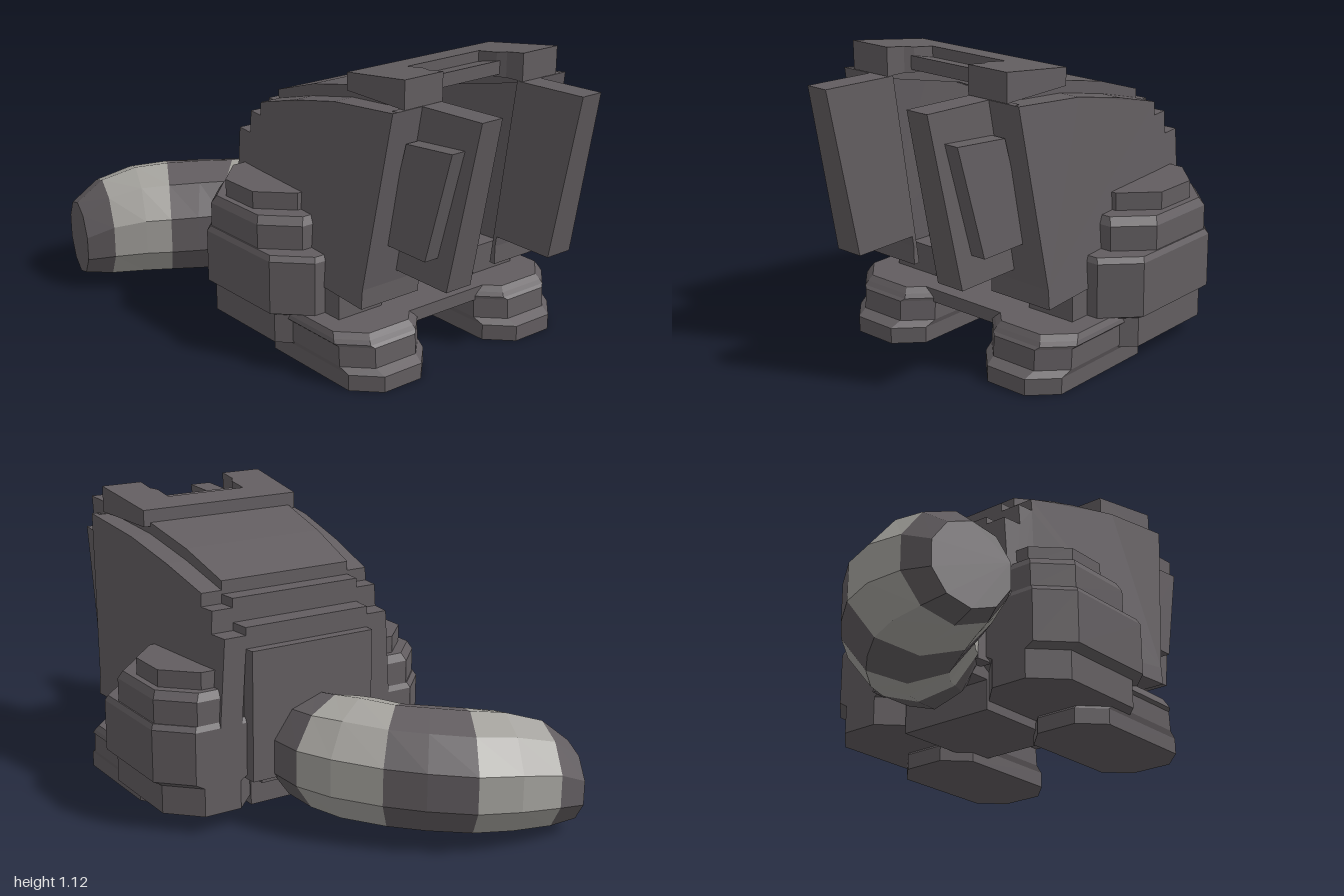
import * as THREE from 'three';

const fur = new THREE.MeshStandardMaterial({ color: 0x625d60 });
fur.name = 'dark grey fur';
const pale = new THREE.MeshStandardMaterial({ color: 0xa5a39e });
pale.name = 'pale grey stripe';

function part(parent, name, geometry, material = fur) {
  const mesh = new THREE.Mesh(geometry, material);
  mesh.name = name;
  parent.add(mesh);
  return mesh;
}

// Skin a list of equal-length rings, with optional end caps (flat facets)
function loft(rings, capStart = true, capEnd = true) {
  const pos = [];
  const tri = (...pts) => pts.forEach((p) => pos.push(p.x, p.y, p.z));
  const n = rings[0].length;
  for (let r = 0; r + 1 < rings.length; r++) {
    const a = rings[r], b = rings[r + 1];
    for (let i = 0; i < n; i++) {
      const j = (i + 1) % n;
      tri(a[i], a[j], b[j]);
      tri(a[i], b[j], b[i]);
    }
  }
  const last = rings[rings.length - 1];
  for (let i = 1; i + 1 < n; i++) {
    if (capStart) tri(rings[0][0], rings[0][i + 1], rings[0][i]);
    if (capEnd) tri(last[0], last[i], last[i + 1]);
  }
  const g = new THREE.BufferGeometry();
  g.setAttribute('position', new THREE.Float32BufferAttribute(pos, 3));
  g.computeVertexNormals();
  return g;
}

// Octagonal stepped block; each level is [y, half width, half depth, z centre]
function steppedBlock(levels, chamfer) {
  return loft(levels.map(([y, w, d, z]) => {
    const c = chamfer, u = w - c, v = d - c;
    return [[-u, d], [u, d], [w, v], [w, -v], [u, -d], [-u, -d], [-w, -v], [-w, v]]
      .map(([px, pz]) => new THREE.Vector3(px, y, z + pz));
  }));
}

// Slab with a (z, y) outline running from x = high(y, z) down to x = low(y, z)
function slab(outline, high, low) {
  const shape = new THREE.Shape(outline.map(([z, y]) => new THREE.Vector2(z, y)));
  const g = new THREE.ExtrudeGeometry(shape, { depth: 1, bevelEnabled: false });
  const p = g.attributes.position;
  for (let i = 0; i < p.count; i++) {
    const z = p.getX(i), y = p.getY(i);
    p.setXYZ(i, p.getZ(i) < 0.5 ? high(y, z) : low(y, z), y, z);
  }
  g.computeVertexNormals();
  return g;
}

// The same slab on the left (side 1) or the right (side -1)
function sideSlab(side, outline, inner, outer) {
  return side > 0
    ? slab(outline, outer, inner)
    : slab(outline, (y, z) => -inner(y, z), (y, z) => -outer(y, z));
}

const wallX = (y, z) => 0.41 + (1.02 - y) * 0.065 - Math.pow(Math.max(0, 0.72 - z), 1.4) * 0.085;
const roofX = (y, z) => 0.335 - (0.72 - z) * 0.078;

const wallOutline = [[0.72, 1.02], [0.4, 0.985], [0.15, 0.93], [-0.08, 0.865], [-0.08, 0.815], [-0.15, 0.815],
  [-0.15, 0.73], [-0.23, 0.73], [-0.23, 0.2], [-0.1, 0.2], [-0.1, 0.3], [0.62, 0.3], [0.62, 0.37]];
const roofTop = [[0.62, 1.08], [0.4, 1.03], [0.15, 0.975], [-0.08, 0.9], [-0.08, 0.85], [-0.15, 0.85],
  [-0.15, 0.76], [-0.23, 0.76], [-0.23, 0.68], [-0.27, 0.68], [-0.27, 0.18]];
const roofOutline = [...roofTop, [-0.255, 0.18], [-0.255, 0.67], [-0.215, 0.67], [-0.215, 0.75], [-0.135, 0.75],
  [-0.135, 0.84], [-0.065, 0.84], [-0.065, 0.89], [0.15, 0.96], [0.4, 1.012], [0.62, 1.03]];
const roofEdgeOutline = [...roofTop, [-0.2, 0.18], [-0.2, 0.6], [0, 0.78], [0.3, 0.91], [0.62, 0.98]];
const postOutline = [[0.72, 1.02], [0.695, 1.02], [0.595, 0.3], [0.62, 0.3], [0.62, 0.37]];
const plateOutline = [[1, 1.03], [0.72, 1.02], [0.62, 0.41], [0.88, 0.41]];
const panelOutline = [[0.93, 0.92], [0.71, 0.9], [0.62, 0.52], [0.83, 0.52]];

const haunchLevels = [[0.07, 0.19, 0.3, 0.07], [0.18, 0.19, 0.3, 0.07], [0.2, 0.225, 0.31, 0.08],
  [0.4, 0.225, 0.31, 0.08], [0.42, 0.215, 0.3, 0.08], [0.42, 0.21, 0.26, 0.04], [0.51, 0.21, 0.26, 0.04],
  [0.54, 0.195, 0.245, 0.04], [0.54, 0.17, 0.2, 0.02], [0.605, 0.17, 0.2, 0.02]];
const footLevels = [[0, 0.175, 0.305, 0.395], [0.06, 0.175, 0.305, 0.395], [0.08, 0.183, 0.275, 0.385],
  [0.155, 0.183, 0.27, 0.385], [0.165, 0.195, 0.26, 0.385], [0.18, 0.19, 0.25, 0.385], [0.2, 0.18, 0.24, 0.38]];

// Raised collar with a notch at the front; its top slopes down to the back
function collar() {
  const pts = [[-0.36, -0.72], [-0.19, -0.72], [-0.19, -0.64], [-0.17, -0.61], [-0.17, -0.52], [0.17, -0.52],
    [0.17, -0.61], [0.19, -0.64], [0.19, -0.72], [0.36, -0.72], [0.34, -0.4], [-0.34, -0.4]];
  const g = new THREE.ExtrudeGeometry(new THREE.Shape(pts.map((q) => new THREE.Vector2(...q))),
    { depth: 1, bevelEnabled: false });
  g.rotateX(-Math.PI / 2);
  const p = g.attributes.position;
  for (let i = 0; i < p.count; i++) {
    const z = p.getZ(i);
    p.setY(i, p.getY(i) > 0.5 ? 1.08 + (z - 0.4) * 0.14 : 1.015 + (z - 0.4) * 0.02);
  }
  g.computeVertexNormals();
  return g;
}

function addTail(root) {
  const tail = new THREE.Group();
  tail.name = 'tail';
  root.add(tail);
  // Each ring: inner x, z, outer x, z, centre y, half height
  const rings = [
    [-0.08, -0.16, 0.23, -0.16, 0.25, 0.13], [-0.14, -0.23, 0.26, -0.25, 0.26, 0.21],
    [-0.17, -0.27, 0.26, -0.42, 0.265, 0.22], [-0.2, -0.32, 0.2, -0.55, 0.26, 0.23],
    [-0.25, -0.38, 0.08, -0.7, 0.25, 0.228], [-0.33, -0.43, -0.03, -0.81, 0.245, 0.228],
    [-0.42, -0.49, -0.17, -0.92, 0.24, 0.225], [-0.5, -0.55, -0.32, -0.98, 0.235, 0.22],
    [-0.6, -0.63, -0.48, -1, 0.215, 0.2], [-0.68, -0.71, -0.6, -0.99, 0.18, 0.15],
  ].map(([ix, iz, ox, oz, y, h]) => Array.from({ length: 10 }, (_, i) => {
    const a = (i + 0.5) * Math.PI / 5;
    const t = 0.5 - 0.5 * Math.cos(a) / Math.cos(Math.PI / 10);
    return new THREE.Vector3(ix + (ox - ix) * t, y + h * Math.sin(a), iz + (oz - iz) * t);
  }));
  const bands = [[0, 2, fur], [2, 4, pale], [4, 6, fur], [6, 8, pale], [8, 9, fur]];
  bands.forEach(([from, to, material], i) => {
    part(tail, 'tailBand' + (i + 1), loft(rings.slice(from, to + 1), i === 0, i === 4), material);
  });
}

export function createModel() {
  const root = new THREE.Group();
  root.name = 'stripedTailAnimalBody';
  const body = new THREE.Group();
  body.name = 'body';
  body.position.x = 0.09;
  root.add(body);

  // Hollow torso: stepped roof and back, collar
  part(body, 'roofAndBack', slab(roofOutline, roofX, (y, z) => -roofX(y, z)));
  part(body, 'collar', collar());

  for (const side of [1, -1]) {
    const label = side > 0 ? 'left' : 'right';
    // Torso walls, front posts and arm plates
    part(body, label + 'RoofEdge', sideSlab(side, roofEdgeOutline, (y, z) => roofX(y, z) - 0.05, (y, z) => roofX(y, z) + 0.002));
    part(body, label + 'Wall', sideSlab(side, wallOutline, (y, z) => wallX(y, z) - 0.09, wallX));
    part(body, label + 'FrontPost', sideSlab(side, postOutline, () => 0.19, (y, z) => wallX(y, z) - 0.02));
    part(body, label + 'ArmPlate', sideSlab(side, plateOutline, () => 0.19, (y) => 0.28 + (1.03 - y) * 0.035));
    part(body, label + 'ArmPanel', sideSlab(side, panelOutline, () => 0.25, (y) => 0.34 + (0.92 - y) * 0.04));
    // Hind legs
    part(body, label + 'Haunch', steppedBlock(haunchLevels, 0.115)).position.x = side * 0.365;
    part(body, label + 'Foot', steppedBlock(footLevels, 0.09)).position.x = side * 0.325;
    part(body, label + 'Knee', new THREE.BoxGeometry(0.2, 0.12, 0.16)).position.set(side * 0.33, 0.25, 0.39);
  }

  // Floor between the legs
  part(body, 'floor', new THREE.BoxGeometry(0.4, 0.05, 0.8)).position.set(0, 0.175, 0.17);
  part(body, 'belly', new THREE.BoxGeometry(0.4, 0.12, 0.42)).position.set(0, 0.095, 0.06);

  addTail(root);
  return root;
}
